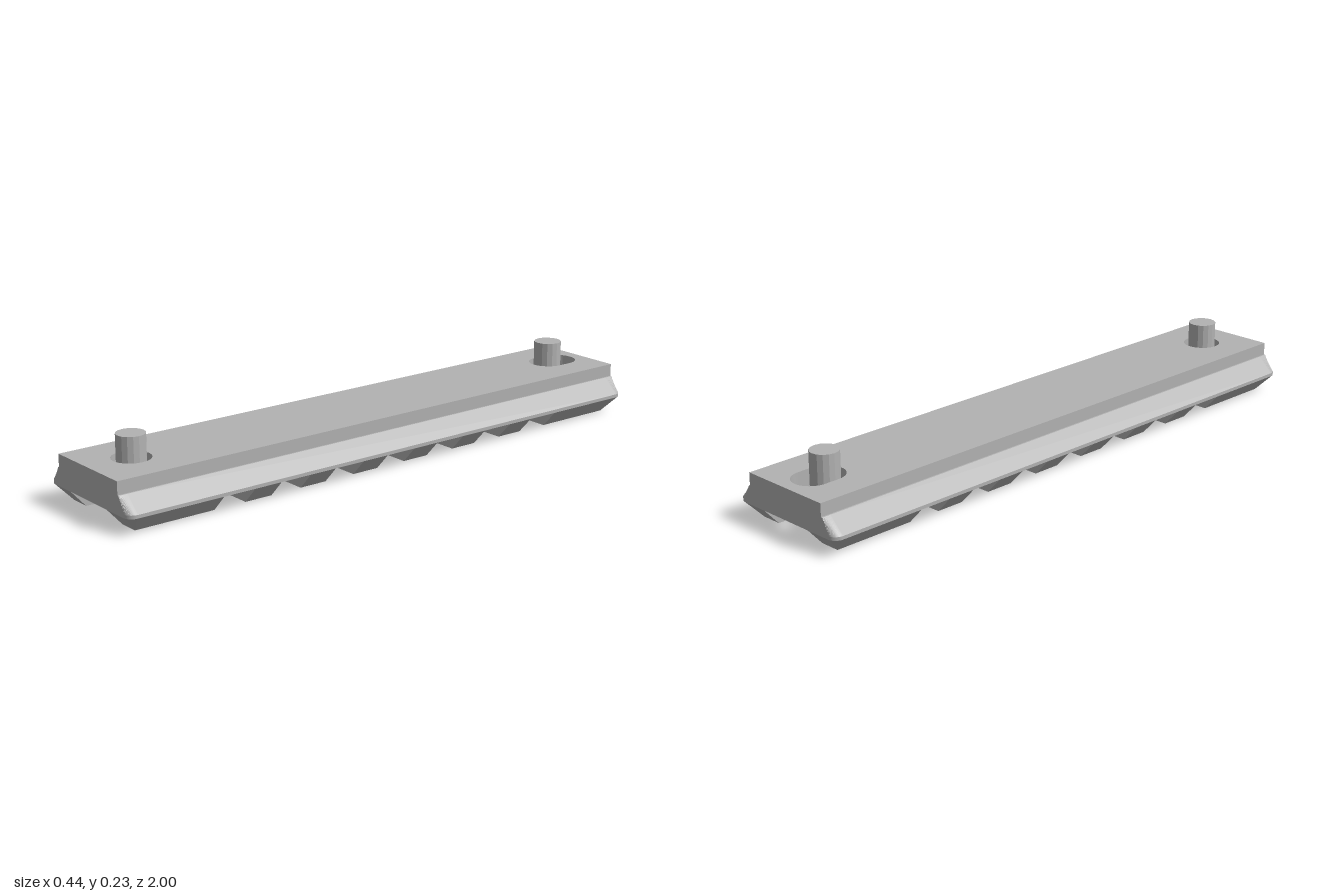
import * as THREE from 'three';

const BASE = 0.055;              // height where slotted teeth meet the solid body
const WIDE = 0.219, NARROW = 0.167, CORNER = 0.03;
const SCREW_Z = 0.85, HOLE_R = 0.062;

// Extrudes a plan shape (shape y becomes -z) upward from y0 to y1,
// then lets a rule move each vertex; t is 0 at the bottom, 1 at the top.
function layer(shape, y0, y1, rule) {
  const g = new THREE.ExtrudeGeometry(shape, { depth: y1 - y0, bevelEnabled: false, curveSegments: 10 });
  g.rotateX(-Math.PI / 2);
  if (rule) {
    const p = g.attributes.position;
    const v = new THREE.Vector3();
    for (let i = 0; i < p.count; i++) {
      v.fromBufferAttribute(p, i);
      rule(v, v.y / (y1 - y0));
      p.setXYZ(i, v.x, v.y, v.z);
    }
  }
  g.translate(0, y0, 0);
  g.computeVertexNormals();
  return g;
}

const clamp = (a, m) => THREE.MathUtils.clamp(a, -m, m);

// Rectangle in plan with rounded corners
function plan(w, l, r) {
  const s = new THREE.Shape();
  if (r === 0) {
    s.moveTo(-w, -l).lineTo(w, -l).lineTo(w, l).lineTo(-w, l);
    return s;
  }
  s.moveTo(-w + r, -l).lineTo(w - r, -l);
  s.absarc(w - r, -l + r, r, -Math.PI / 2, 0, false);
  s.lineTo(w, l - r);
  s.absarc(w - r, l - r, r, 0, Math.PI / 2, false);
  s.lineTo(-w + r, l);
  s.absarc(-w + r, l - r, r, Math.PI / 2, Math.PI, false);
  s.lineTo(-w, -l + r);
  s.absarc(-w + r, -l + r, r, Math.PI, Math.PI * 1.5, false);
  return s;
}

// Round front screw hole and elongated rear adjusting slot
function drill(s) {
  const front = new THREE.Path();
  front.absarc(0, -SCREW_Z, HOLE_R, 0, Math.PI * 2, true);
  const back = new THREE.Path();
  back.absarc(0, SCREW_Z + 0.05, HOLE_R, 0, Math.PI, false);
  back.absarc(0, SCREW_Z, HOLE_R, Math.PI, Math.PI * 2, false);
  s.holes.push(front, back);
  return s;
}

// End block in plan: rounded outer corners and a U-shaped screw recess open to the end
function endBlockShape() {
  const s = new THREE.Shape();
  const inner = 0.675, n = 0.1;
  s.moveTo(-WIDE, -inner).lineTo(-WIDE, -1 + CORNER);
  s.absarc(-WIDE + CORNER, -1 + CORNER, CORNER, Math.PI, Math.PI * 1.5, false);
  s.lineTo(-n, -1);
  s.lineTo(-n, -SCREW_Z);
  s.absarc(0, -SCREW_Z, n, Math.PI, 0, true);
  s.lineTo(n, -1);
  s.lineTo(WIDE - CORNER, -1);
  s.absarc(WIDE - CORNER, -1 + CORNER, CORNER, Math.PI * 1.5, Math.PI * 2, false);
  s.lineTo(WIDE, -inner);
  return s;
}

export function createModel() {
  const model = new THREE.Group();
  model.name = 'accessoryRail';
  const metal = new THREE.MeshStandardMaterial({ color: 0xb2b2b2 });
  metal.name = 'grey metal';
  metal.flatShading = true;

  const add = (name, geometry, parent = model) => {
    const m = new THREE.Mesh(geometry, metal);
    m.name = name;
    parent.add(m);
    return m;
  };

  // Solid body: vertical band, sloped shoulders, raised top
  add('sideBand', layer(drill(plan(WIDE, 1, CORNER)), BASE, 0.066));
  add('shoulders', layer(drill(plan(WIDE, 1, CORNER)), 0.066, 0.115, (v, t) => {
    v.x = clamp(v.x, THREE.MathUtils.lerp(WIDE, NARROW, t));
  }));
  add('topPlate', layer(drill(plan(0.162, 1, 0)), 0.115, 0.157));

  // End blocks, bevelled at the sides and the outer end
  const block = layer(endBlockShape(), 0, BASE, (v, t) => {
    v.x = clamp(v.x, THREE.MathUtils.lerp(NARROW, WIDE, t));
    v.z = clamp(v.z, THREE.MathUtils.lerp(0.95, 1, t));
  });
  add('frontEndBlock', block);
  add('backEndBlock', block).rotation.y = Math.PI;

  // Cross teeth between the end blocks
  const profile = new THREE.Shape();
  profile.moveTo(-NARROW, 0).lineTo(NARROW, 0).lineTo(WIDE, BASE).lineTo(-WIDE, BASE);
  const tooth = new THREE.ExtrudeGeometry(profile, { depth: 0.096, bevelEnabled: false });
  tooth.translate(0, 0, -0.048);
  for (let i = 0; i < 6; i++) add('tooth', tooth).position.z = (i - 2.5) * 0.206;

  // Screws: tapered head with a hexagonal socket, plain shaft
  const headShape = new THREE.Shape();
  headShape.absarc(0, 0, 0.067, 0, Math.PI * 2, false);
  const socket = new THREE.Path();
  for (let i = 0; i < 6; i++) {
    const a = -i * Math.PI / 3;
    socket[i ? 'lineTo' : 'moveTo'](0.026 * Math.cos(a), 0.026 * Math.sin(a));
  }
  headShape.holes.push(socket);
  const head = layer(headShape, 0.025, BASE, (v, t) => {
    if (t < 0.5 && Math.hypot(v.x, v.z) > 0.04) {
      v.x *= 0.037 / 0.067;
      v.z *= 0.037 / 0.067;
    }
  });
  const shaft = new THREE.CylinderGeometry(0.046, 0.046, 0.232 - 0.053, 16);
  shaft.translate(0, (0.232 + 0.053) / 2, 0);
  for (const side of [1, -1]) {
    const screw = new THREE.Group();
    screw.name = side > 0 ? 'frontScrew' : 'backScrew';
    add('screwHead', head, screw);
    add('screwShaft', shaft, screw);
    screw.position.z = side * SCREW_Z;
    model.add(screw);
  }
  return model;
}
